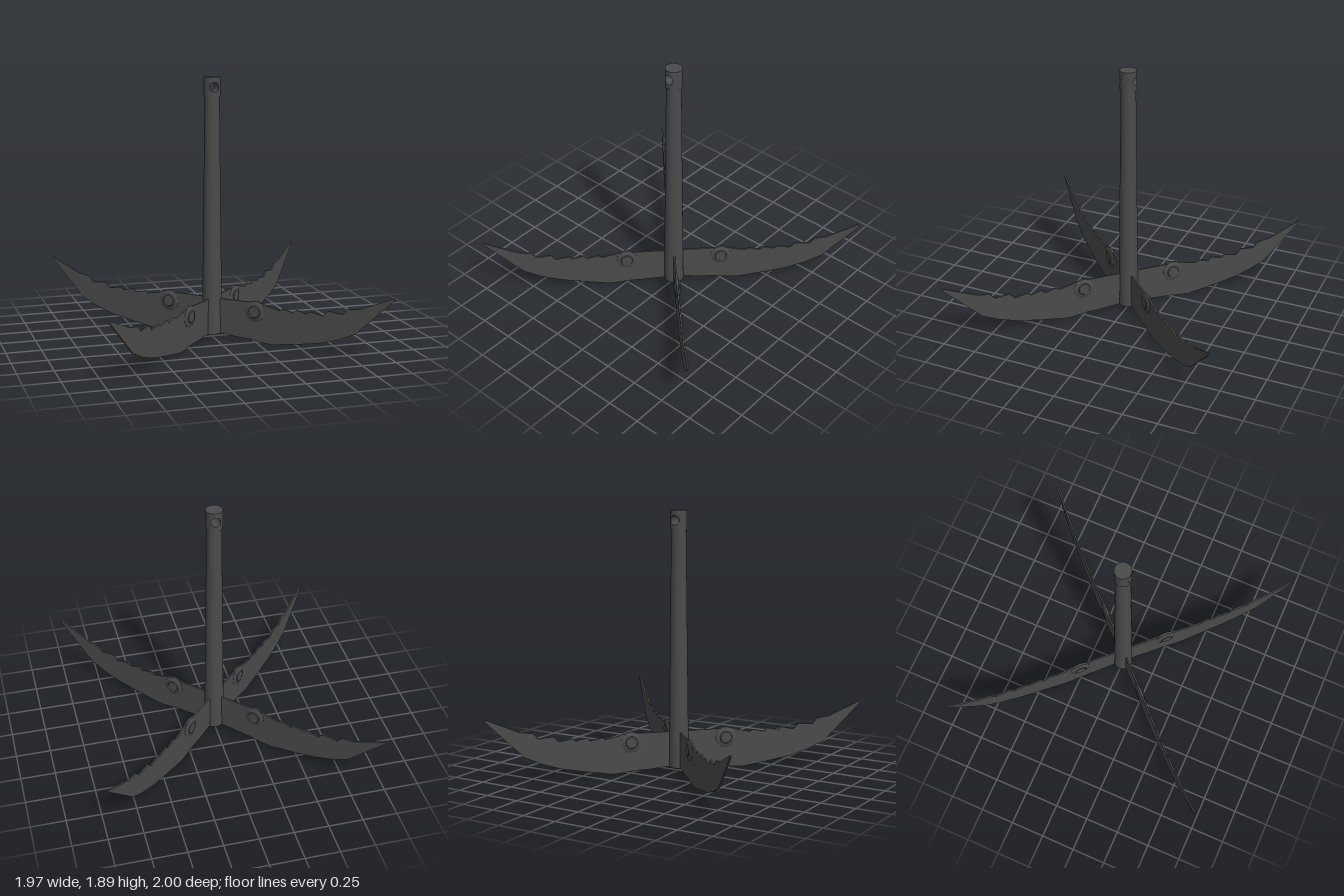
import * as THREE from 'three';
import { toCreasedNormals } from 'three/addons/utils/BufferGeometryUtils.js';
import { ParametricGeometry } from 'three/addons/geometries/ParametricGeometry.js';

const CAP_R = 0.06, CAP_H = 0.07, CAP_Y = 1.82, HOLE_R = 0.034;

export function createModel() {
  const group = new THREE.Group();
  const iron = new THREE.MeshStandardMaterial({ color: 0x4b4b4b });
  iron.name = 'darkIron';

  const add = (parent, name, geometry) => {
    const mesh = new THREE.Mesh(geometry, iron);
    mesh.name = name;
    parent.add(mesh);
    return mesh;
  };

  // Tapered shaft
  add(group, 'shaft', new THREE.CylinderGeometry(0.053, 0.073, 1.73, 32)).position.y = 0.9;

  // Cap: half cylinder walls pierced by a round hole, a tunnel and two end discs
  const cap = new THREE.Group();
  cap.name = 'eyeCap';
  cap.position.y = CAP_Y;
  group.add(cap);

  const wall = new ParametricGeometry((u, v, p) => {
    const c = Math.cos(u * Math.PI * 2), s = Math.sin(u * Math.PI * 2);
    const m = Math.max(Math.abs(c), Math.abs(s));
    const angle = THREE.MathUtils.lerp(c / m * Math.PI / 2, Math.asin(HOLE_R * c / CAP_R), v);
    const y = THREE.MathUtils.lerp(s / m * CAP_H, HOLE_R * s, v);
    p.set(CAP_R * Math.sin(angle), y, CAP_R * Math.cos(angle));
  }, 48, 8);
  add(cap, 'capFrontWall', wall);
  add(cap, 'capBackWall', wall).rotation.y = Math.PI;

  add(cap, 'ropeHole', new ParametricGeometry((u, v, p) => {
    const x = HOLE_R * Math.cos(u * Math.PI * 2), y = HOLE_R * Math.sin(u * Math.PI * 2);
    p.set(x, y, (1 - 2 * v) * Math.sqrt(CAP_R ** 2 - x ** 2));
  }, 48, 2));

  for (const side of [1, -1]) {
    const disc = add(cap, side > 0 ? 'capTop' : 'capBottom', new THREE.CircleGeometry(CAP_R, 32));
    disc.position.y = side * CAP_H;
    disc.rotation.x = -side * Math.PI / 2;
  }

  // Blade outline: notched upper edge, swept tip, curved belly
  const STRETCH = 1.425;
  const outline = [
    [0.02, 0.295], [0.285, 0.297], [0.31, 0.283], [0.38, 0.262], [0.395, 0.278],
    [0.455, 0.258], [0.472, 0.283], [0.53, 0.262], [0.547, 0.283], [0.615, 0.264],
    [0.64, 0.304], [0.718, 0.294], [0.742, 0.335], [0.81, 0.349], [0.977, 0.45],
    [0.98, 0.437], [0.785, 0.165], [0.7, 0.11], [0.6, 0.066], [0.5, 0.04],
    [0.34, 0.004], [0.3, 0.009], [0.22, 0.023], [0.16, 0.025], [0.07, 0.036], [0.02, 0.036],
  ].map(([x, y]) => new THREE.Vector2(x * STRETCH, y));
  const blade = new THREE.ExtrudeGeometry(new THREE.Shape(outline), { depth: 0.012, bevelEnabled: false });
  blade.translate(0, 0, -0.006);

  // Stepped round boss, symmetric through the blade
  const half = [[0, 0.024], [0.04, 0.024], [0.045, 0.018], [0.066, 0.014], [0.076, 0.008]];
  const profile = [
    ...half.map(([r, h]) => [r, -h]),
    ...half.slice().reverse(),
  ].map(([r, h]) => new THREE.Vector2(r, h));
  const boss = toCreasedNormals(new THREE.LatheGeometry(profile, 32), 0.5);
  boss.rotateX(Math.PI / 2);

  // Four flukes on the diagonals
  const diagonal = Math.atan2(0.994, 0.98);
  [diagonal, -diagonal, Math.PI + diagonal, Math.PI - diagonal].forEach((angle, i) => {
    const fluke = new THREE.Group();
    fluke.name = 'fluke' + (i + 1);
    fluke.rotation.y = angle;
    add(fluke, 'blade', blade);
    add(fluke, 'boss', boss).position.set(0.352, 0.232, 0);
    group.add(fluke);
  });

  return group;
}
